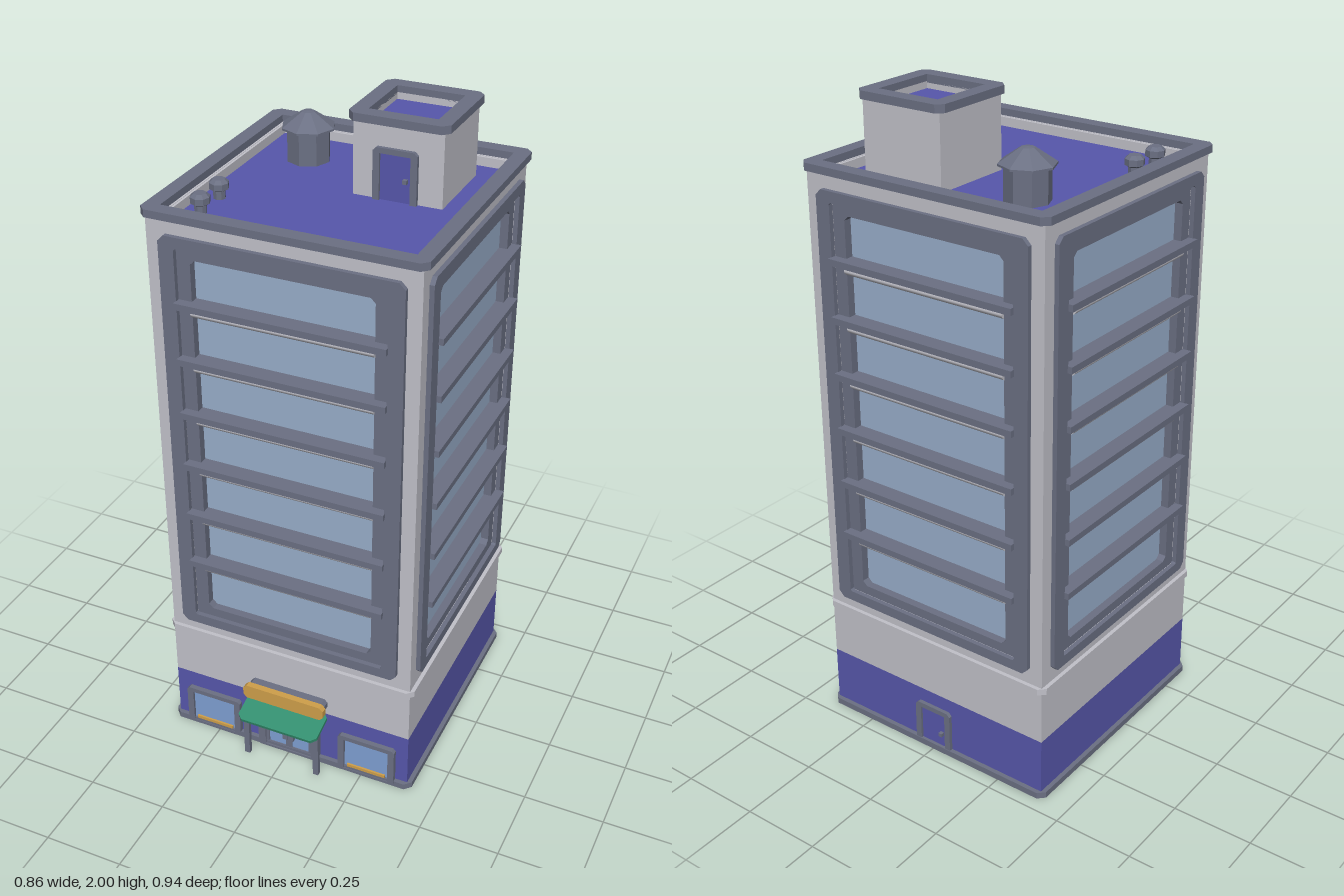
import * as THREE from 'three';

const mat = (name, color) => {
  const m = new THREE.MeshStandardMaterial({ color });
  m.name = name;
  return m;
};

export function createModel() {
  const wall = mat('pale wall', 0xc1c1c9);
  const trim = mat('slate trim', 0x6b7083);
  const blue = mat('blue paint', 0x5757ab);
  const glass = mat('window glass', 0x98aeca);
  const shopGlass = mat('shop glass', 0x7f9fd2);
  const gold = mat('gold', 0xcf9f4a);
  const green = mat('canopy green', 0x349070);

  const model = new THREE.Group();
  model.name = 'officeTower';

  const add = (parent, name, geometry, material) => {
    const mesh = new THREE.Mesh(geometry, material);
    mesh.name = name;
    parent.add(mesh);
    return mesh;
  };
  const group = (parent, name, x = 0, y = 0, z = 0) => {
    const g = new THREE.Group();
    g.name = name;
    g.position.set(x, y, z);
    parent.add(g);
    return g;
  };
  // Box given by its limits on each axis
  const box = (parent, name, m, x0, x1, y0, y1, z0, z1) => {
    const b = add(parent, name, new THREE.BoxGeometry(x1 - x0, y1 - y0, z1 - z0), m);
    b.position.set((x0 + x1) / 2, (y0 + y1) / 2, (z0 + z1) / 2);
    return b;
  };
  // Rectangle outline with cut corners
  const outline = (w, y0, y1, c = 0) => [
    [-w + c, y0], [w - c, y0], [w, y0 + c], [w, y1 - c],
    [w - c, y1], [-w + c, y1], [-w, y1 - c], [-w, y0 + c],
  ].map(([x, y]) => new THREE.Vector2(x, y));
  const plate = (outer, hole, z0, z1) => {
    const shape = new THREE.Shape(outer);
    if (hole) shape.holes.push(new THREE.Path(hole));
    return new THREE.ExtrudeGeometry(shape, { depth: z1 - z0, bevelEnabled: false }).translate(0, 0, z0);
  };
  // Flat square ring or slab lying between two heights
  const flat = (half, inner, y0, y1, c = 0.02) =>
    plate(outline(half, -half, half, c), inner && outline(inner, -inner, inner), y0, y1).rotateX(-Math.PI / 2);

  // Main block: base, belt and roof
  const tower = group(model, 'tower', 0, 0, -0.04);
  add(tower, 'plinth', flat(0.416, null, 0, 0.02), trim);
  box(tower, 'groundFloor', blue, -0.402, 0.402, 0.01, 0.2, -0.402, 0.402);
  box(tower, 'lowerWall', wall, -0.402, 0.402, 0.2, 0.44, -0.402, 0.402);
  add(tower, 'beltCourse', flat(0.414, null, 0.372, 0.392), wall);
  add(tower, 'roofParapet', flat(0.417, 0.371, 1.75, 1.785, 0.02).scale(0.963, 1, 0.963), wall);
  add(tower, 'roofRim', flat(0.417, 0.371, 1.785, 1.808), trim);
  box(tower, 'roofDeck', blue, -0.385, 0.385, 1.74, 1.757, -0.385, 0.385);

  // One window bay on each of the four sides
  for (let side = 0; side < 4; side++) {
    const bay = group(tower, 'windowBay');
    bay.rotation.y = side * Math.PI / 2;
    add(bay, 'bayWall', plate(outline(0.402, 0.42, 1.786), outline(0.313, 0.46, 1.708), 0.365, 0.402), wall);
    box(bay, 'glazing', glass, -0.31, 0.31, 0.46, 1.708, 0.368, 0.376);
    add(bay, 'outerFrame', plate(outline(0.36, 0.428, 1.742, 0.018), outline(0.313, 0.46, 1.708, 0.005), 0.39, 0.416), trim);
    add(bay, 'innerFrame', plate(outline(0.314, 0.459, 1.709), outline(0.272, 0.49, 1.676, 0.014), 0.37, 0.401), trim);
    for (let i = 0; i < 6; i++) {
      const y = 0.667 + i * 0.1748;
      box(bay, 'floorLedge', trim, -0.315, 0.315, y - 0.01, y + 0.01, 0.37, 0.43);
      const roll = add(bay, 'floorEdge',
        new THREE.CylinderGeometry(0.018, 0.018, 0.546, 16).rotateZ(Math.PI / 2), wall);
      roll.scale.z = 1.9;
      roll.position.set(0, y - 0.024, 0.378);
    }
  }

  // Framed service door facing +z, standing on its origin
  const serviceDoor = (parent, name, x, y, z) => {
    const door = group(parent, name, x, y, z);
    const arch = [[-0.066, 0], [-0.046, 0], [-0.046, 0.138], [0.046, 0.138], [0.046, 0], [0.066, 0],
      [0.066, 0.144], [0.056, 0.154], [-0.056, 0.154], [-0.066, 0.144]].map(([a, b]) => new THREE.Vector2(a, b));
    add(door, 'doorFrame', plate(arch, null, -0.005, 0.012), trim);
    box(door, 'doorLeaf', blue, -0.047, 0.047, 0, 0.139, -0.004, 0.004);
    box(door, 'doorKnob', trim, 0.025, 0.037, 0.06, 0.072, 0, 0.016);
    return door;
  };
  serviceDoor(tower, 'backDoor', 0, 0, -0.402).rotation.y = Math.PI;

  // Stair hut on the roof
  const hut = group(model, 'stairHut', 0.155, 0, -0.192);
  box(hut, 'hutWall', wall, -0.134, 0.134, 1.75, 1.955, -0.134, 0.134);
  add(hut, 'hutParapet', flat(0.134, 0.102, 1.95, 1.98, 0), wall);
  add(hut, 'hutRim', flat(0.149, 0.102, 1.976, 2), trim);
  box(hut, 'hutDeck', blue, -0.12, 0.12, 1.945, 1.96, -0.12, 0.12);
  serviceDoor(hut, 'hutDoor', -0.005, 1.757, 0.134);

  // Roof tank and small vents, turned from eight-sided profiles
  const turned = (name, profile, x, z) => {
    const g = new THREE.LatheGeometry(profile.map(([r, y]) => new THREE.Vector2(r, y)), 8).toNonIndexed();
    g.computeVertexNormals();
    add(model, name, g, trim).position.set(x, 1.755, z);
  };
  turned('roofTank', [[0.066, 0], [0.066, 0.1], [0.081, 0.1], [0.081, 0.106], [0.02, 0.148], [0, 0.15]], -0.202, -0.24);
  for (const z of [0.122, 0.23])
    turned('roofVent', [[0.018, 0], [0.018, 0.026], [0.029, 0.032], [0.029, 0.05], [0.018, 0.06], [0, 0.06]], -0.305, z);

  // Shop front on the ground floor
  const front = group(model, 'shopFront', 0, 0, 0.362);
  for (const s of [-1, 1]) {
    const shop = group(front, 'shopWindow', s * 0.267);
    add(shop, 'shopFrame', plate(outline(0.095, 0.004, 0.144, 0.008), outline(0.074, 0.012, 0.129), -0.005, 0.016), trim);
    box(shop, 'shopPane', shopGlass, -0.075, 0.075, 0.01, 0.13, 0, 0.0175 - 0.01);
    box(shop, 'shopSill', gold, -0.064, 0.064, 0.012, 0.03, 0, 0.014);
  }

  // Entrance with double doors
  const entrance = group(front, 'entrance');
  add(entrance, 'entranceFrame', plate(outline(0.105, 0.002, 0.162, 0.006), outline(0.08, 0.01, 0.142), -0.005, 0.018), trim);
  for (const s of [-1, 1]) {
    const leaf = group(entrance, 'doorLeaf', s * 0.04);
    add(leaf, 'leafFrame', plate(outline(0.04, 0.008, 0.143), outline(0.029, 0.022, 0.13), -0.002, 0.012), trim);
    box(leaf, 'leafPane', shopGlass, -0.03, 0.03, 0.02, 0.131, -0.001, 0.008);
    box(leaf, 'doorHandle', trim, -s * 0.03 - 0.009, -s * 0.03 + 0.009, 0.055, 0.082, 0.006, 0.02);
    box(entrance, 'canopyPost', trim, s * 0.12 - 0.009, s * 0.12 + 0.009, 0, 0.176, 0.056, 0.07);
  }

  // Sloping canopy and sign board
  const canopy = add(entrance, 'canopy',
    plate(outline(0.135, -0.055, 0.055, 0.016), null, -0.006, 0.006).rotateX(-Math.PI / 2), green);
  canopy.position.set(0, 0.182, 0.051);
  canopy.rotation.x = 0.27;
  add(entrance, 'signBack', plate(outline(0.13, 0.22, 0.258, 0.01), null, 0, 0.032), trim);
  add(entrance, 'signBoard', plate(outline(0.137, 0.215, 0.263, 0.012), null, 0.03, 0.05), gold);

  return model;
}
